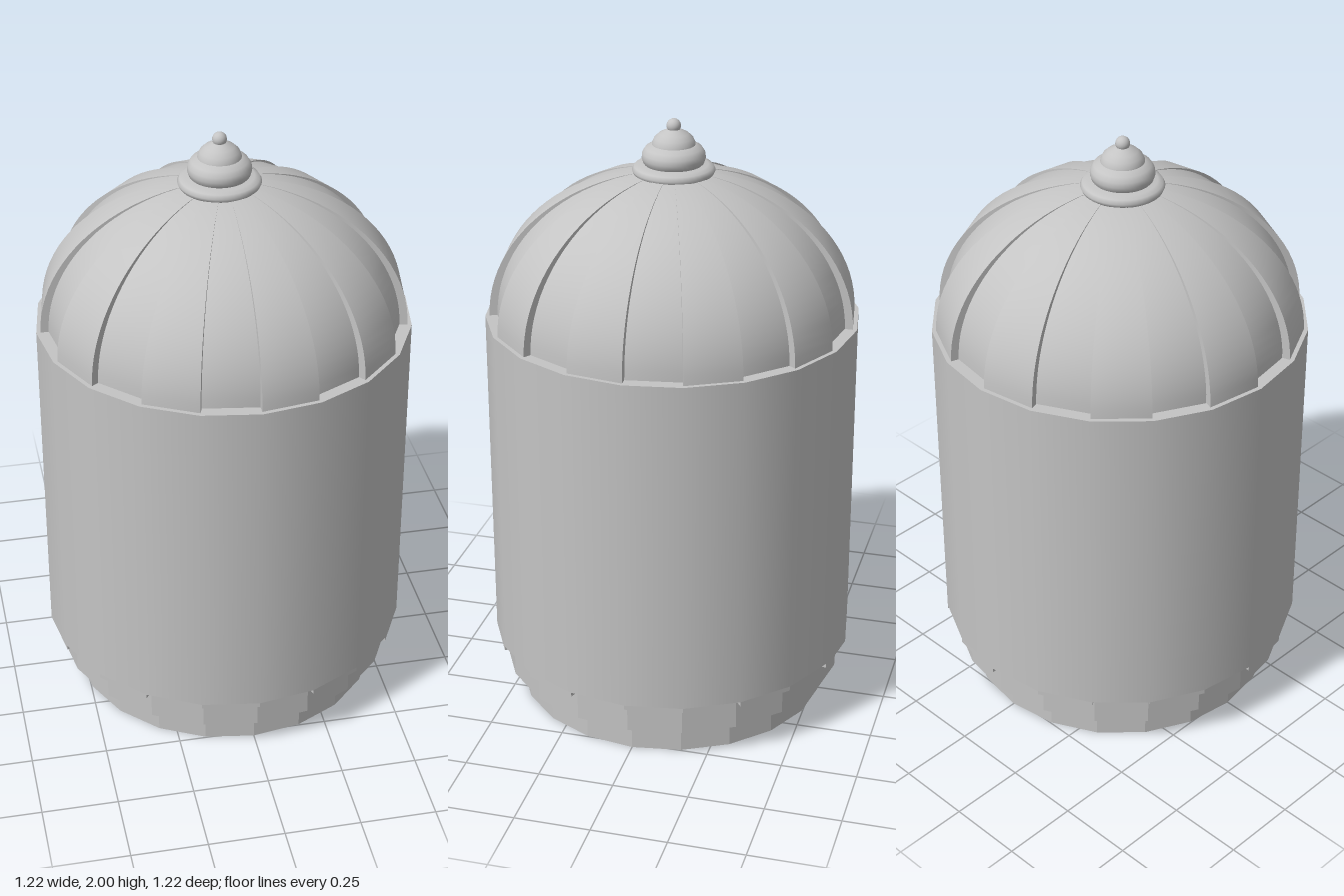
import * as THREE from 'three';

const SIDES = 20;
const STEP = (Math.PI * 2) / SIDES;

export function createModel() {
  const model = new THREE.Group();
  model.name = 'domedCanister';

  const grey = new THREE.MeshStandardMaterial({ color: 0xc4c4c4 });
  grey.name = 'grey';
  const greyFlat = new THREE.MeshStandardMaterial({ color: 0xc4c4c4, flatShading: true });
  greyFlat.name = 'grey faceted';
  const greyThin = new THREE.MeshStandardMaterial({ color: 0xc4c4c4, side: THREE.DoubleSide });
  greyThin.name = 'grey thin';

  const add = (parent, name, geometry, material) => {
    const mesh = new THREE.Mesh(geometry, material);
    mesh.name = name;
    parent.add(mesh);
    return mesh;
  };
  const drum = (name, radius, y0, y1, material) => {
    const geometry = new THREE.CylinderGeometry(radius, radius, y1 - y0, SIDES);
    return add(model, name, geometry.translate(0, (y0 + y1) / 2, 0), material);
  };

  // Stepped base and main body
  drum('lowerBase', 0.522, 0, 0.1, greyFlat);
  drum('upperBase', 0.575, 0.1, 0.22, greyFlat);
  drum('body', 0.61, 0.215, 1.35, grey);

  // Lower lip of the body, left open on every other side
  const lip = new THREE.Group();
  lip.name = 'bodyLip';
  model.add(lip);
  for (let i = 1; i < SIDES; i += 2) {
    const corner = (r, k) => new THREE.Vector2(r * Math.sin(k * STEP), -r * Math.cos(k * STEP));
    const shape = new THREE.Shape([
      corner(0.61, i), corner(0.61, i + 1), corner(0.56, i + 1), corner(0.56, i),
    ]);
    const block = new THREE.ExtrudeGeometry(shape, { depth: 0.015, bevelEnabled: false });
    block.rotateX(-Math.PI / 2).translate(0, 0.2, 0);
    add(lip, 'lipSegment', block, grey);
  }

  // Dome of alternating raised and sunken panels that merge at the top
  const dome = new THREE.Group();
  dome.name = 'dome';
  model.add(dome);
  const arc = (radius) => Array.from({ length: 25 }, (_, i) => {
    const t = (i / 24) * (Math.PI / 2);
    return new THREE.Vector2(Math.max(0, radius * Math.cos(t)), 1.35 + 0.485 * Math.sin(t));
  });
  const raised = arc(0.596);
  const sunken = arc(0.57);
  const wall = new THREE.ShapeGeometry(new THREE.Shape([...raised, ...sunken.slice(0, -1).reverse()]));
  for (let i = 0; i < SIDES; i++) {
    const isRaised = i % 2 === 0;
    add(dome, isRaised ? 'raisedPanel' : 'sunkenPanel',
      new THREE.LatheGeometry(isRaised ? raised : sunken, 1, i * STEP, STEP), grey);
    add(dome, 'panelEdge', wall, greyThin).rotation.y = i * STEP - Math.PI / 2;
  }

  // Finial: collar, rounded bulb, tapered cap and ball
  const finial = new THREE.Group();
  finial.name = 'finial';
  finial.position.x = -0.012;
  model.add(finial);
  const turned = (name, points) => add(finial, name,
    new THREE.LatheGeometry(points.map(([r, y]) => new THREE.Vector2(r, y)), 40), grey);
  turned('collar', [[0.115, 1.81], [0.128, 1.822], [0.133, 1.834], [0.126, 1.846], [0.11, 1.852], [0.08, 1.855]]);
  turned('bulb', [[0.085, 1.845], [0.097, 1.858], [0.102, 1.874], [0.1, 1.89], [0.09, 1.906], [0.07, 1.917], [0.05, 1.92]]);
  turned('cap', [[0.07, 1.912], [0.069, 1.922], [0.062, 1.938], [0.047, 1.952], [0.028, 1.962], [0.012, 1.97], [0, 1.972]]);
  add(finial, 'ball', new THREE.SphereGeometry(0.023, 24, 16).translate(0, 1.977, 0), grey);

  return model;
}
